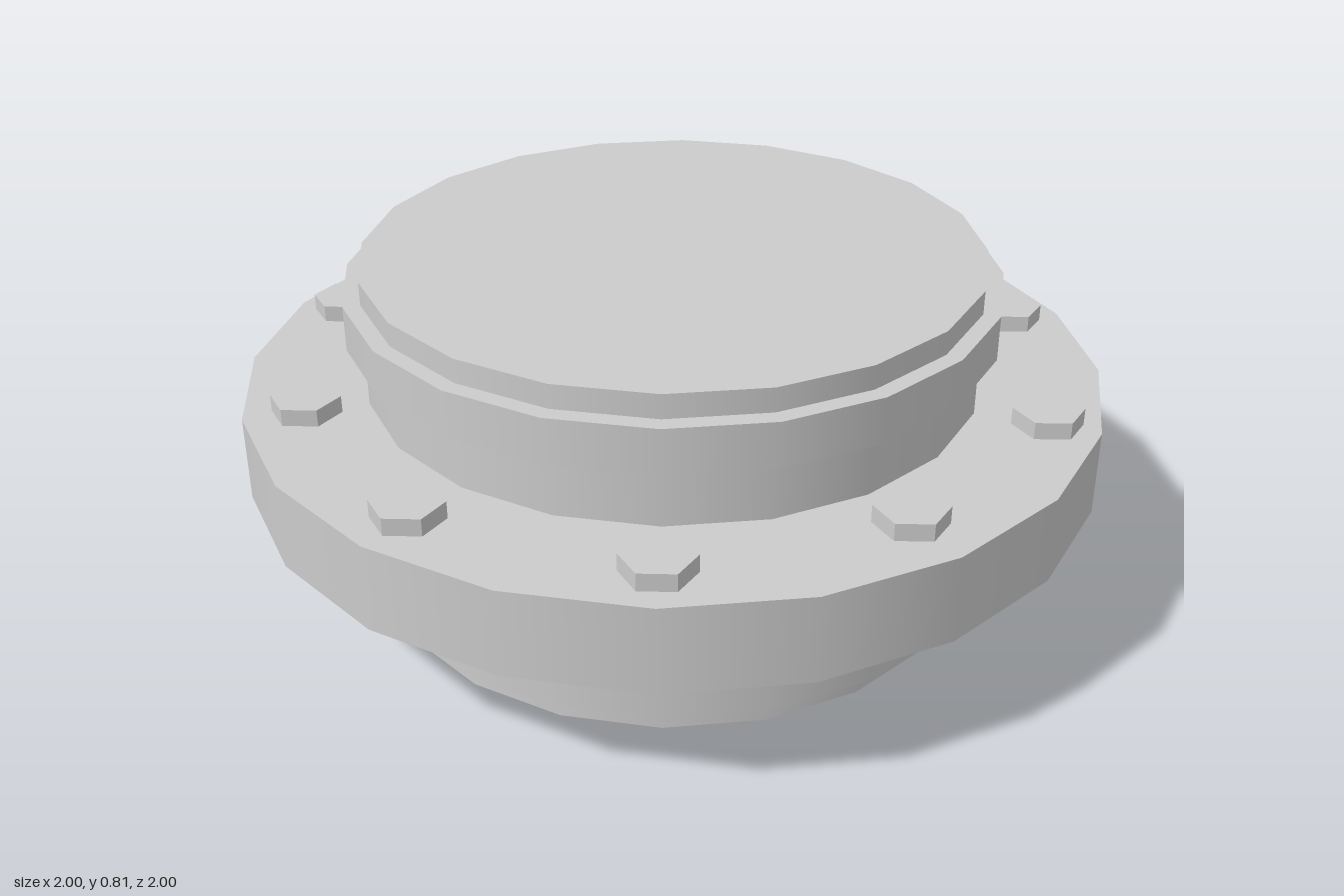
import * as THREE from 'three';

const smooth = new THREE.MeshStandardMaterial({ color: 0xcccccc });
const faceted = new THREE.MeshStandardMaterial({ color: 0xcccccc, flatShading: true });

// Upright prism between two heights, with a corner on +x
function disc(name, radius, y0, y1, sides, material) {
  const geometry = new THREE.CylinderGeometry(radius, radius, y1 - y0, sides);
  geometry.rotateY(Math.PI / 2);
  geometry.translate(0, (y0 + y1) / 2, 0);
  const mesh = new THREE.Mesh(geometry, material);
  mesh.name = name;
  return mesh;
}

export function createModel() {
  const model = new THREE.Group();
  model.name = 'boltedFlange';

  // Barrel with a raised band near each end and a wide flange round the middle
  model.add(
    disc('barrel', 0.717, 0, 0.81, 20, smooth),
    disc('lowerBand', 0.756, 0.055, 0.165, 20, smooth),
    disc('upperBand', 0.756, 0.65, 0.755, 20, smooth),
    disc('flange', 1, 0.31, 0.51, 20, smooth),
  );

  // Hexagonal bolts through the flange, set slightly unevenly (x, z)
  const boltSpots = [
    [0, -0.868], [0.508, -0.702], [0.823, -0.27], [0.838, 0.267], [0.5, 0.685],
    [0, 0.875], [-0.512, 0.7], [-0.815, 0.263], [-0.832, -0.272], [-0.512, -0.705],
  ];
  const bolts = new THREE.Group();
  bolts.name = 'bolts';
  for (const [x, z] of boltSpots) {
    const bolt = disc('bolt', 0.08, 0.273, 0.55, 6, faceted);
    bolt.position.set(x, 0, z);
    bolts.add(bolt);
  }
  model.add(bolts);

  return model;
}
